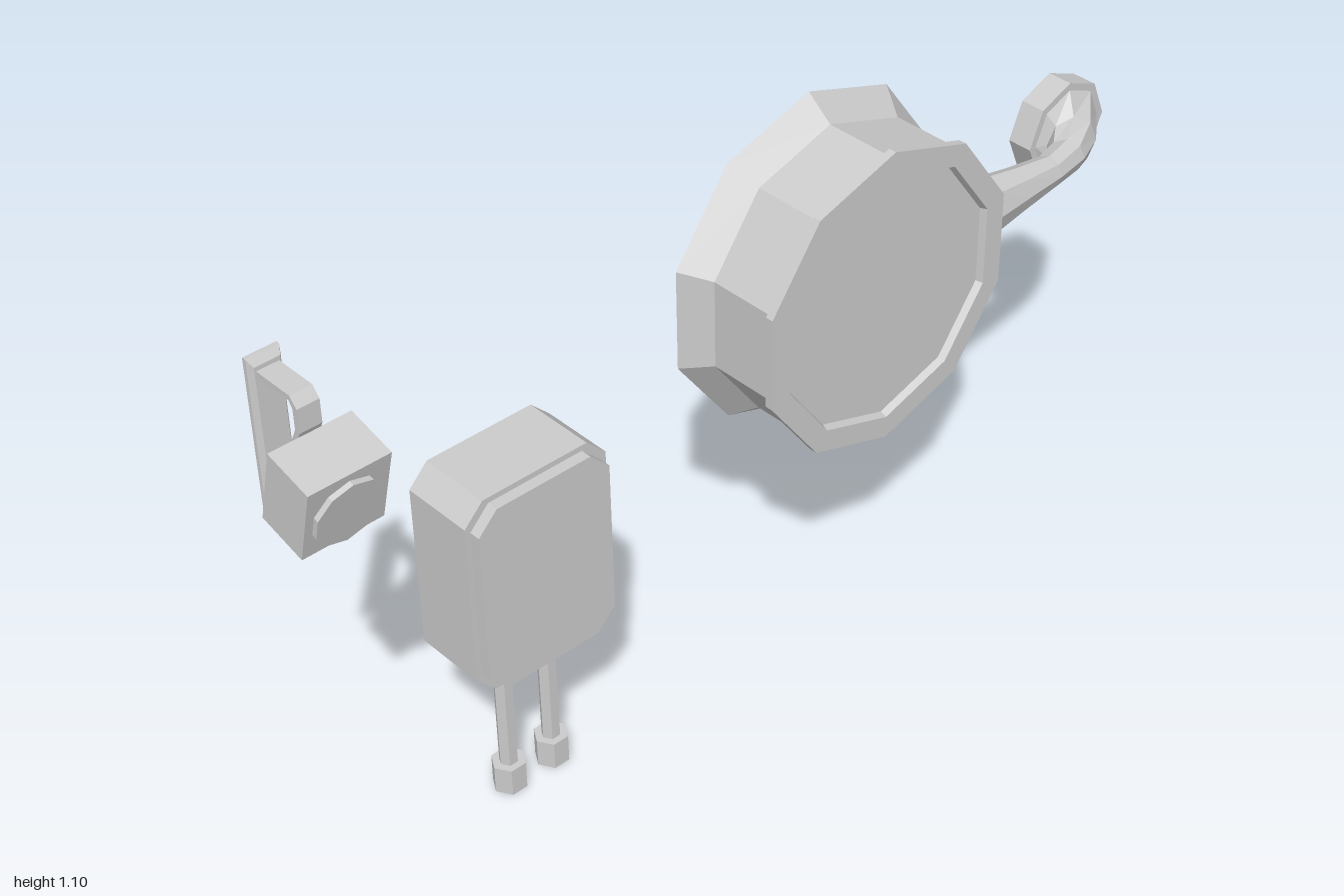
import * as THREE from 'three';

const mat = new THREE.MeshStandardMaterial({ color: 0xcccccc, flatShading: true, side: THREE.DoubleSide });

function add(parent, name, geometry, x = 0, y = 0, z = 0) {
  const mesh = new THREE.Mesh(geometry, mat);
  mesh.name = name;
  mesh.position.set(x, y, z);
  parent.add(mesh);
  return mesh;
}

const points = (list) => list.map(([a, b]) => new THREE.Vector2(a, b));

// Skin through rings of equal point count
function loft(rings) {
  const n = rings[0].length;
  const index = [];
  for (let i = 0; i < rings.length - 1; i++) {
    for (let j = 0; j < n; j++) {
      const a = i * n + j, b = i * n + (j + 1) % n;
      index.push(a, a + n, b, b, a + n, b + n);
    }
  }
  const g = new THREE.BufferGeometry();
  g.setAttribute('position', new THREE.Float32BufferAttribute(rings.flat(2), 3));
  g.setIndex(index);
  const flat = g.toNonIndexed();
  flat.computeVertexNormals();
  return flat;
}

function makeDrum() {
  const drum = new THREE.Group();
  drum.name = 'drum';
  drum.position.set(0.23, 0.75, 0);
  const R = 0.291, back = -0.048, front = 0.094;
  const ring = (name, profile, segments = 10, start = 0, sweep = Math.PI * 2) => {
    add(drum, name, new THREE.LatheGeometry(points(profile), segments, start, sweep)).rotation.x = Math.PI / 2;
  };
  ring('backFlare', [[0.334, -0.102], [R, back]]);
  // Nine plain sides; the tenth carries the opening for the arm
  ring('drumWall', [[R, back], [R, front]], 9, Math.PI * 0.6, Math.PI * 1.8);
  ring('frontFace', [[R, front], [0.305, front], [0.305, 0.11], [0.26, 0.11], [0.255, 0.096], [0, 0.096]]);

  const h = R * Math.sin(Math.PI / 10);
  const panel = new THREE.Shape(points([[-front, -h], [-back, -h], [-back, h], [-front, h]]));
  const hole = [];
  for (let i = 0; i < 8; i++) {
    const t = i * Math.PI / 4;
    hole.push(new THREE.Vector2(-0.016 + 0.05 * Math.cos(t), 0.074 * Math.sin(t)));
  }
  panel.holes.push(new THREE.Path(hole));
  add(drum, 'openPanel', new THREE.ShapeGeometry(panel), R * Math.cos(Math.PI / 10)).rotation.y = Math.PI / 2;
  return drum;
}

// Hollow arm: x, z, turn toward the back, half width, half height
function makeArm(parent) {
  const q = Math.PI / 2;
  const sections = [
    [0.507, 0.016, 0, 0.05, 0.074],
    [0.507, 0.016, 0, 0.056, 0.083],
    [0.55, 0.016, 0, 0.056, 0.081],
    [0.564, 0.016, 0, 0.051, 0.064],
    [0.66, 0.018, 0, 0.04, 0.047],
    [0.755, 0.018, 0.1, 0.032, 0.033],
    [0.82, 0.005, 0.55, 0.036, 0.037],
    [0.865, -0.02, 1.05, 0.05, 0.057],
    [0.89, -0.055, q, 0.09, 0.09],
    [0.89, -0.055, q, 0.106, 0.106],
    [0.89, -0.108, q, 0.106, 0.106],
  ];
  const rings = sections.map(([x, z, a, w, h]) => Array.from({ length: 8 }, (_, i) => {
    const t = i * Math.PI / 4, d = w * Math.cos(t);
    return [x + d * Math.sin(a), 0.75 + h * Math.sin(t), z + d * Math.cos(a)];
  }));
  add(parent, 'flaredArm', loft(rings));
}

function makeCabinet() {
  const cabinet = new THREE.Group();
  cabinet.name = 'cabinet';
  cabinet.position.set(-0.52, 0.52, 0);
  const outline = (inset) => {
    const w = 0.151 - inset, h = 0.206 - inset, c = 0.04;
    return [[w, c - h], [w, h - c], [w - c, h], [c - w, h], [-w, h - c], [-w, c - h], [c - w, -h], [w - c, -h]];
  };
  // Shell is open at the back, with a stepped front plate
  const steps = [[0.05, 0.011], [0.028, 0.011], [0.028, 0], [-0.117, 0]];
  add(cabinet, 'cabinetShell', loft(steps.map(([z, inset]) => outline(inset).map(([x, y]) => [x, y, z]))));
  add(cabinet, 'cabinetFront', new THREE.ShapeGeometry(new THREE.Shape(points(outline(0.011)))), 0, 0, 0.05);

  // Two hexagonal pipes with wider open ends and capped stubs inside
  const pipe = new THREE.LatheGeometry(points([
    [0.033, 0], [0.033, 0.058], [0.018, 0.058], [0.018, 0.32], [0.023, 0.32], [0.023, 0.365], [0, 0.365],
  ]), 6);
  pipe.rotateY(Math.PI / 2);
  for (const x of [-0.05, 0.049]) add(cabinet, 'pipe', pipe, x, -0.52, -0.037);
  return cabinet;
}

function makeLamp() {
  const lamp = new THREE.Group();
  lamp.name = 'bracketedLamp';
  lamp.position.x = -0.924;

  // Tilted box with a round front disc
  const head = new THREE.Group();
  head.name = 'lampHead';
  head.position.set(0, 0.925, 0.037);
  head.rotation.x = 0.26;
  add(head, 'lampBox', new THREE.BoxGeometry(0.155, 0.15, 0.1));
  add(head, 'lampDisc', new THREE.CylinderGeometry(0.065, 0.065, 0.012, 10), 0, -0.005, 0.054).rotation.x = Math.PI / 2;
  lamp.add(head);

  // Bent strap loop, drawn in side profile (z, y)
  const strap = new THREE.Shape(points([[-0.09, 1.083], [-0.002, 1.083], [0.013, 1.065], [0.013, 1.02], [-0.088, 0.81], [-0.09, 0.81]]));
  strap.holes.push(new THREE.Path(points([[-0.088, 1.073], [-0.006, 1.073], [0.002, 1.061], [0.002, 1.022], [-0.088, 0.835]])));
  const strapGeometry = new THREE.ExtrudeGeometry(strap, { depth: 0.042, bevelEnabled: false });
  strapGeometry.translate(0, 0, -0.021).rotateY(-Math.PI / 2);
  add(lamp, 'strap', strapGeometry);

  // Wall plate with a bevelled front and a shallow recess at the back
  const rect = (w, h, z) => [[w, -h, z], [w, h, z], [-w, h, z], [-w, -h, z]];
  const plate = loft([
    rect(0, 0, -0.086), rect(0.024, 0.14, -0.086), rect(0.031, 0.153, -0.096),
    rect(0.031, 0.153, -0.104), rect(0.025, 0.146, -0.104), rect(0.025, 0.146, -0.096), rect(0, 0, -0.096),
  ]);
  add(lamp, 'wallPlate', plate, 0, 0.951);
  return lamp;
}

export function createModel() {
  const model = new THREE.Group();
  model.name = 'wallFixtures';
  model.add(makeDrum(), makeCabinet(), makeLamp());
  makeArm(model);
  return model;
}
